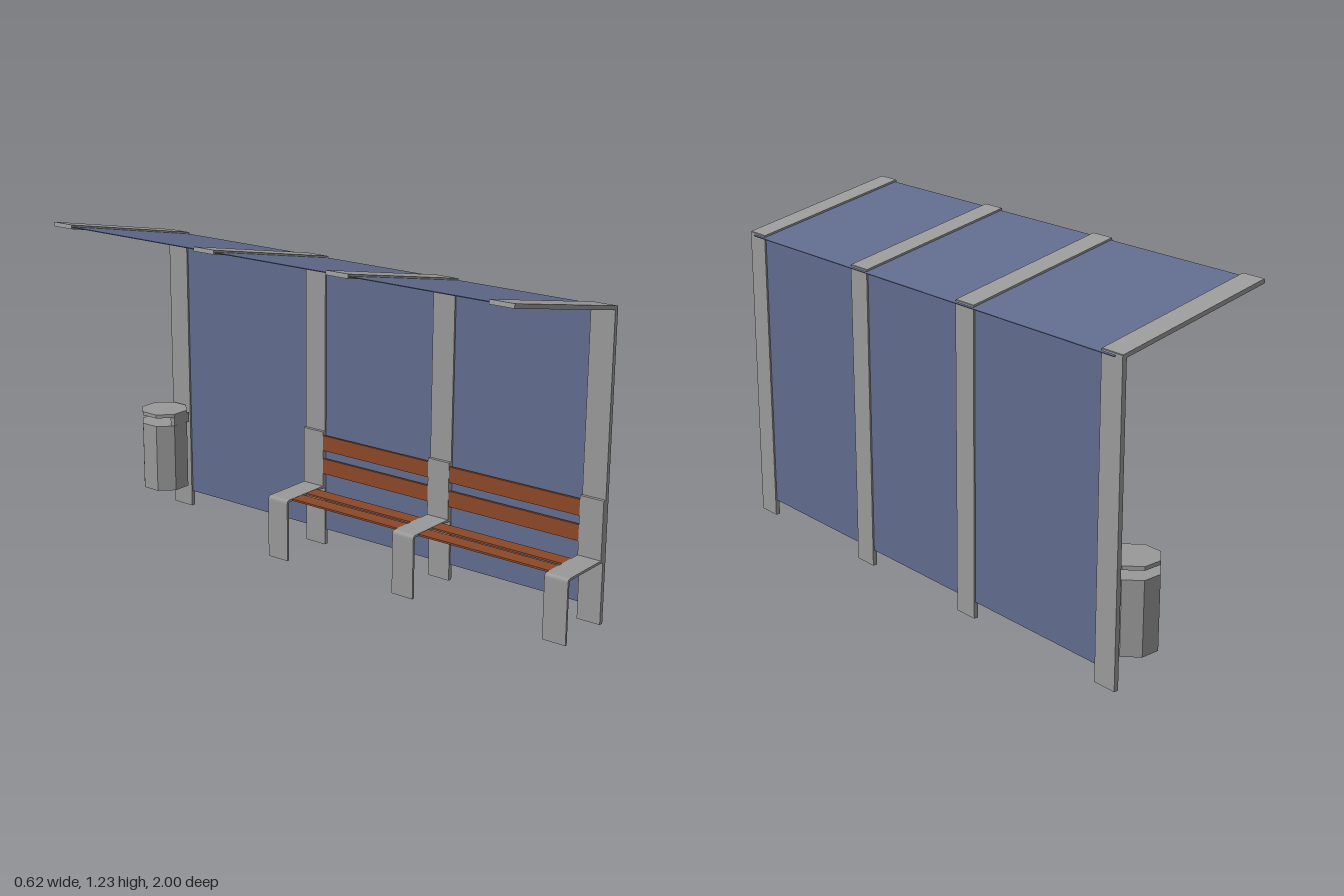
import * as THREE from 'three';

const mat = (name, color, extra = {}) => {
  const m = new THREE.MeshStandardMaterial({ color, ...extra });
  m.name = name;
  return m;
};

export function createModel() {
  const root = new THREE.Group();
  root.name = 'shelter';
  const metal = mat('grey metal', 0x999999);
  const glass = mat('blue panel', 0x606b8c);
  const wood = mat('brown wood', 0x8c4828);

  const add = (name, geo, material) => {
    const mesh = new THREE.Mesh(geo, material);
    mesh.name = name;
    root.add(mesh);
    return mesh;
  };
  // box given by its minimum and maximum corners
  const box = (name, material, x0, x1, y0, y1, z0, z1) => {
    const mesh = add(name, new THREE.BoxGeometry(x1 - x0, y1 - y0, z1 - z0), material);
    mesh.position.set((x0 + x1) / 2, (y0 + y1) / 2, (z0 + z1) / 2);
    return mesh;
  };
  // x-y outline pulled along z, centred on z
  const W = 0.09;
  const strip = (name, shape, z) => {
    const geo = new THREE.ExtrudeGeometry(shape, { depth: W, bevelEnabled: false, curveSegments: 4 });
    add(name, geo, metal).position.z = z - W / 2;
  };
  const outline = (pts) => new THREE.Shape(pts.map(([x, y]) => new THREE.Vector2(x, y)));

  // posts with sloping roof arms
  const arm = outline([[0.30, 1.091], [0.30, 1.106], [-0.308, 1.228], [-0.311, 1.213]]);
  const posts = [0.955, 0.333, -0.235, -0.915];
  for (const z of posts) {
    box('post', metal, 0.285, 0.302, 0, 1.104, z - W / 2, z + W / 2);
    strip('roofArm', arm, z);
  }

  // back wall and roof panels
  box('wallPanel', glass, 0.292, 0.296, 0.06, 1.096, -0.93, 0.97);
  const roof = box('roofPanel', glass, -0.313, 0.313, -0.0015, 0.0015, -0.93, 0.97);
  roof.position.set(0.0025, 1.157, 0.02);
  roof.rotation.z = -Math.atan2(0.122, 0.608);

  // bench frames: bent strip for leg and seat, plate for the back
  const bench = new THREE.Shape();
  bench.moveTo(0.065, 0);
  bench.lineTo(0.065, 0.223);
  bench.quadraticCurveTo(0.065, 0.236, 0.078, 0.236);
  bench.lineTo(0.286, 0.236);
  bench.lineTo(0.286, 0.227);
  bench.lineTo(0.08, 0.227);
  bench.quadraticCurveTo(0.074, 0.227, 0.074, 0.221);
  bench.lineTo(0.074, 0);
  bench.closePath();
  const frames = posts.slice(0, 3);
  for (const z of frames) {
    strip('benchFrame', bench, z);
    box('backPlate', metal, 0.272, 0.286, 0.232, 0.448, z - W / 2, z + W / 2);
  }

  // wooden slats
  for (const x of [0.095, 0.175]) box('seatSlat', wood, x, x + 0.06, 0.228, 0.235, -0.24, 0.96);
  for (const y of [0.285, 0.375]) box('backSlat', wood, 0.274, 0.284, y, y + 0.058, -0.24, 0.96);

  // eight-sided litter bin with a raised lid
  const R = 0.085 / Math.cos(Math.PI / 8);
  const octagon = (name, y0, y1) => {
    const geo = new THREE.CylinderGeometry(R, R, y1 - y0, 8).rotateY(Math.PI / 8).toNonIndexed();
    geo.computeVertexNormals();
    add(name, geo, metal).position.set(0.1875, (y0 + y1) / 2, -0.915);
  };
  octagon('binBody', 0.11, 0.373);
  octagon('binLid', 0.406, 0.42);
  box('binLidSupport', metal, 0.153, 0.237, 0.37, 0.408, -0.85, -0.831);

  return root;
}
